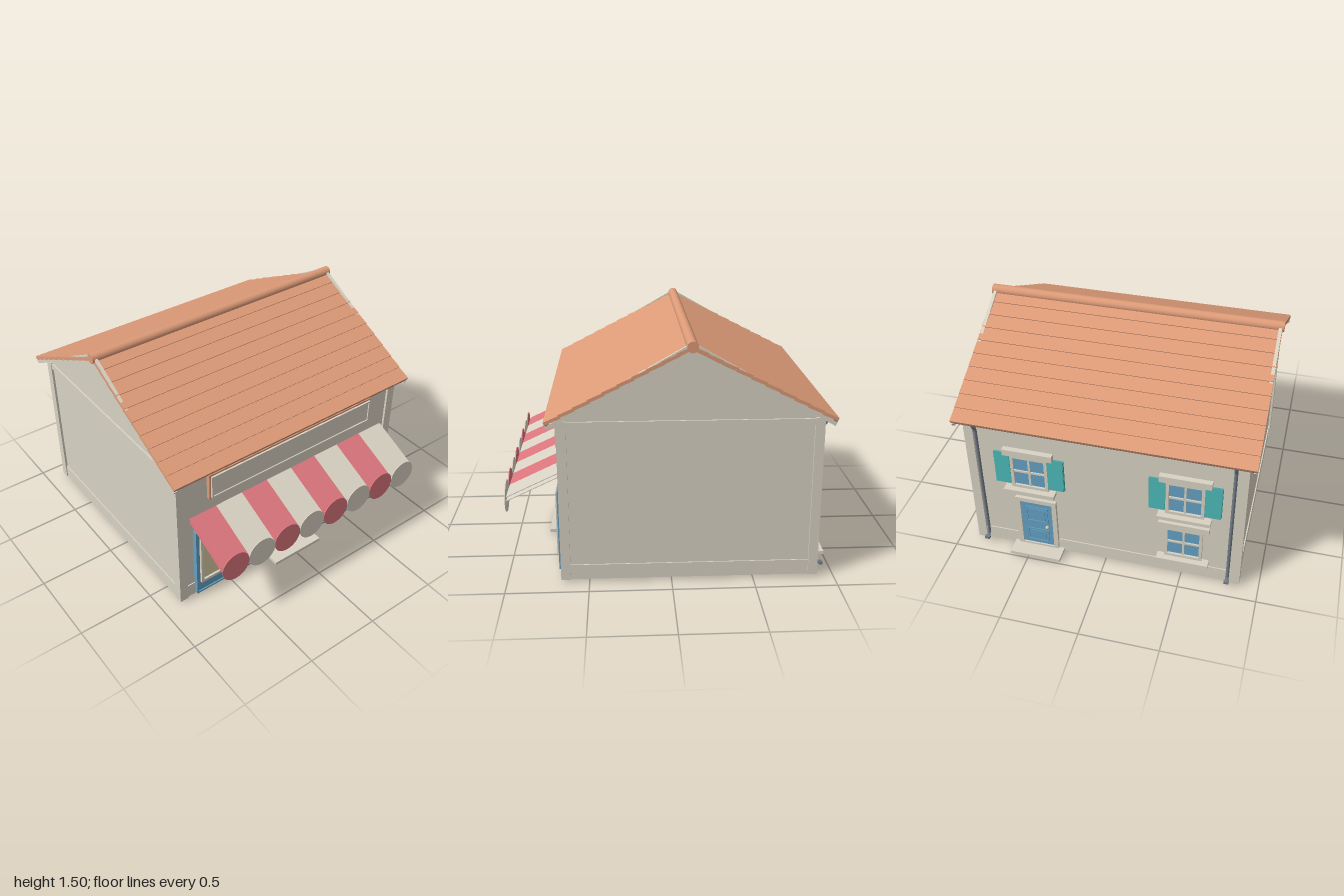
import * as THREE from 'three';

const mat = (name, color) => {
  const m = new THREE.MeshStandardMaterial({ color });
  m.name = name;
  return m;
};

export function createModel() {
  const cream = mat('cream plaster', 0xd8d2c3);
  const orange = mat('terracotta', 0xdd9b78);
  const red = mat('awning red', 0xdb757d);
  const blue = mat('shop blue', 0x64a1c2);
  const tan = mat('tan glass', 0xd9cba2);
  const teal = mat('shutter teal', 0x43a3a3);
  const grey = mat('gutter grey', 0x737d88);

  const model = new THREE.Group();
  model.name = 'shop';

  const add = (parent, name, geo, m, x = 0, y = 0, z = 0) => {
    const mesh = new THREE.Mesh(geo, m);
    mesh.name = name;
    mesh.position.set(x, y, z);
    parent.add(mesh);
    return mesh;
  };
  // box given by its min/max on each axis
  const span = (parent, name, m, x0, x1, y0, y1, z0, z1) =>
    add(parent, name, new THREE.BoxGeometry(x1 - x0, y1 - y0, z1 - z0), m,
      (x0 + x1) / 2, (y0 + y1) / 2, (z0 + z1) / 2);
  // rectangular frame with an opening, back face at z
  const frame = (parent, name, m, x0, x1, y0, y1, bar, z, depth) => {
    const rect = (C, a, b, c, d) => new C([[a, c], [b, c], [b, d], [a, d]].map(p => new THREE.Vector2(...p)));
    const s = rect(THREE.Shape, x0, x1, y0, y1);
    s.holes.push(rect(THREE.Path, x0 + bar, x1 - bar, y0 + bar, y1 - bar));
    return add(parent, name, new THREE.ExtrudeGeometry(s, { depth, bevelEnabled: false }), m, 0, 0, z);
  };
  const group = (name, x = 0, y = 0, z = 0) => {
    const g = new THREE.Group();
    g.name = name;
    g.position.set(x, y, z);
    model.add(g);
    return g;
  };

  const MID = -0.113; // z of the ridge

  // Walls and gables in one extruded pentagon
  const outline = new THREE.Shape([[-0.883, 0.015], [0.657, 0.015], [0.657, 1.04], [MID, 1.44], [-0.883, 1.04]]
    .map(p => new THREE.Vector2(...p)));
  const walls = new THREE.ExtrudeGeometry(outline, { depth: 1.726, bevelEnabled: false });
  walls.rotateY(-Math.PI / 2).translate(0.863, 0, 0);
  add(model, 'walls', walls, cream);

  // Corner posts and horizontal bands
  for (const s of [-1, 1]) {
    for (const z of [0.643, -0.869]) {
      add(model, 'cornerPost', new THREE.BoxGeometry(0.058, 1.01, 0.058), cream, s * 0.849, 0.52, z);
    }
    add(model, 'sideSkirting', new THREE.BoxGeometry(0.012, 0.095, 1.5), cream, s * 0.865, 0.0635, MID);
    add(model, 'sideBand', new THREE.BoxGeometry(0.014, 0.04, 1.5), cream, s * 0.867, 1.0, MID);
  }
  for (const z of [0.658, -0.884]) {
    add(model, 'skirting', new THREE.BoxGeometry(1.66, 0.095, 0.012), cream, 0, 0.0635, z);
    add(model, 'topBand', new THREE.BoxGeometry(1.66, 0.04, 0.014), cream, 0, 1.0, z);
  }

  // Roof: two equal slopes of overlapping tile rows
  const slope = Math.atan(0.516), rows = 10, run = 0.843;
  for (const turn of [0, Math.PI]) {
    const side = group('roofSlope', 0, 0, MID);
    side.rotation.y = turn;
    const deck = add(side, 'roofDeck', new THREE.BoxGeometry(1.8, 0.012, run / Math.cos(slope) - 0.01), orange,
      0, 1.46 - 0.516 * run / 2 - 0.01, run / 2);
    deck.rotation.x = slope;
    for (let i = 0; i < rows; i++) {
      const z = (i + 0.5) * run / rows;
      const tile = add(side, 'tileRow', new THREE.BoxGeometry(1.85, 0.02, 0.103), orange, 0, 1.462 - 0.516 * z, z);
      tile.rotation.x = slope - 0.06;
    }
    // Verge boards are a little steeper than the tiles
    for (const s of [-1, 1]) {
      const board = add(side, 'vergeBoard', new THREE.BoxGeometry(0.02, 0.024, 0.965), cream, s * 0.912, 1.238, 0.418);
      board.rotation.x = Math.atan(0.569);
    }
    const gutter = add(side, 'gutter', new THREE.CylinderGeometry(0.013, 0.013, 1.84, 10), grey, 0, 1.023, 0.832);
    gutter.rotation.z = Math.PI / 2;
  }
  const ridge = add(model, 'ridgeCap', new THREE.CylinderGeometry(0.033, 0.033, 1.87, 20), orange, 0, 1.466, MID);
  ridge.rotation.z = Math.PI / 2;

  // Sign board above the awning
  span(model, 'signBorder', orange, -0.65, 0.65, 0.775, 0.96, 0.65, 0.684);
  span(model, 'signPanel', cream, -0.638, 0.638, 0.787, 0.948, 0.68, 0.688);
  frame(model, 'signRim', cream, -0.638, 0.638, 0.787, 0.948, 0.01, 0.688, 0.008);

  // Shop windows, left and right of the door
  for (const s of [-1, 1]) {
    const half = group('shopWindow', s * 0.4625);
    span(half, 'windowPanel', blue, -0.2975, 0.2975, 0.03, 0.56, 0.64, 0.682);
    frame(half, 'panelRim', blue, -0.2975, 0.2975, 0.03, 0.56, 0.012, 0.682, 0.008);
    span(half, 'shopGlass', tan, -0.26, 0.25, 0.13, 0.52, 0.68, 0.686);
    frame(half, 'windowFrame', cream, -0.268, 0.268, 0.12, 0.53, 0.02, 0.682, 0.018);
    span(half, 'mullion', cream, -0.006, 0.006, 0.135, 0.52, 0.684, 0.692);
    span(half, 'doorJamb', cream, -s * 0.3125 - 0.015, -s * 0.3125 + 0.015, 0.03, 0.56, 0.64, 0.695);
  }

  // Door leaf with raised panels and knob, facing +z
  const door = (g, w, y1, z, panels) => {
    span(g, 'door', blue, -w / 2, w / 2, 0.03, y1, z - 0.03, z);
    for (const [a, b] of panels) {
      const pw = w * 0.35;
      frame(g, 'doorPanelRim', blue, -pw, pw, a, b, 0.012, z, 0.005);
      span(g, 'doorPanel', blue, -pw + 0.02, pw - 0.02, a + 0.02, b - 0.02, z, z + 0.004);
    }
    add(g, 'doorKnob', new THREE.SphereGeometry(0.012, 12, 8), tan, w * 0.33, (y1 > 0.5) ? 0.25 : 0.22, z + 0.016);
  };
  door(group('frontDoor'), 0.27, 0.56, 0.676, [[0.08, 0.22], [0.28, 0.5]]);
  span(model, 'frontStep', cream, -0.193, 0.19, 0.015, 0.036, 0.62, 0.787);
  span(model, 'frontStepFoot', cream, -0.155, 0.155, 0, 0.015, 0.645, 0.68);

  // Striped awning with a round valance
  const stripe = 1.572 / 8;
  for (let i = 0; i < 8; i++) {
    const m = i % 2 ? cream : red, x = (i - 3.5) * stripe;
    for (const drop of [0, 0.025]) {
      const sheet = add(model, 'awningStripe', new THREE.BoxGeometry(stripe, 0.005, 0.358), m, x, 0.604 - drop, 0.826);
      sheet.rotation.x = 0.438;
    }
    const disc = add(model, 'valanceDisc', new THREE.CylinderGeometry(stripe / 2, stripe / 2, 0.005, 32), m, x, 0.5, 0.997);
    disc.rotation.x = Math.PI / 2;
  }

  // Back wall details are built facing +z, then turned round
  const back = (name, x) => {
    const g = group(name, x, 0, -0.883);
    g.rotation.y = Math.PI;
    return g;
  };
  const window = (x, y0, y1, shutters) => {
    const g = back('backWindow', x);
    span(g, 'backGlass', blue, -0.11, 0.11, y0, y1, -0.01, 0.006);
    frame(g, 'backWindowFrame', cream, -0.12, 0.12, y0, y1, 0.02, 0, 0.02);
    span(g, 'glazingBar', cream, -0.007, 0.007, y0, y1, 0, 0.014);
    span(g, 'glazingBar', cream, -0.11, 0.11, (y0 + y1) / 2 - 0.007, (y0 + y1) / 2 + 0.007, 0, 0.014);
    span(g, 'lintel', cream, -0.16, 0.16, y1 + 0.005, y1 + 0.05, -0.01, 0.035);
    span(g, 'sill', cream, -0.165, 0.165, y0 - 0.025, y0, -0.01, 0.057);
    if (!shutters) return;
    for (const s of [-1, 1]) {
      span(g, 'shutter', teal, s * 0.172 - 0.053, s * 0.172 + 0.053, y0 + 0.025, y1 + 0.005, 0, 0.014);
      for (let i = 0; i < 7; i++) {
        const slat = add(g, 'shutterSlat', new THREE.BoxGeometry(0.1, 0.034, 0.005), teal,
          s * 0.172, y0 + 0.045 + i * 0.033, 0.018);
        slat.rotation.x = -0.35;
      }
    }
  };
  window(0.475, 0.53, 0.785, true);
  window(-0.51, 0.53, 0.785, true);
  window(-0.51, 0.165, 0.41, false);

  const rear = back('backDoor', 0.45);
  door(rear, 0.21, 0.41, 0.012, [[0.07, 0.18], [0.24, 0.37]]);
  frame(rear, 'backDoorFrame', cream, -0.135, 0.135, 0.02, 0.44, 0.03, 0, 0.022);
  span(model, 'backStep', cream, 0.28, 0.615, 0.015, 0.036, -1, -0.84);
  span(model, 'backStepFoot', cream, 0.315, 0.58, 0, 0.015, -0.89, -0.85);

  // Downpipes from the rear gutter
  for (const s of [-1, 1]) {
    const path = new THREE.CatmullRomCurve3([[1.02, -0.935], [0.985, -0.925], [0.95, -0.902], [0.9, -0.9], [0.5, -0.9],
      [0.1, -0.9], [0.065, -0.905], [0.055, -0.94]].map(([y, z]) => new THREE.Vector3(s * 0.8, y, z)));
    add(model, 'downpipe', new THREE.TubeGeometry(path, 40, 0.011, 8), grey);
    add(model, 'pipeFoot', new THREE.BoxGeometry(0.032, 0.02, 0.02), grey, s * 0.8, 0.055, -0.935);
  }
  return model;
}
